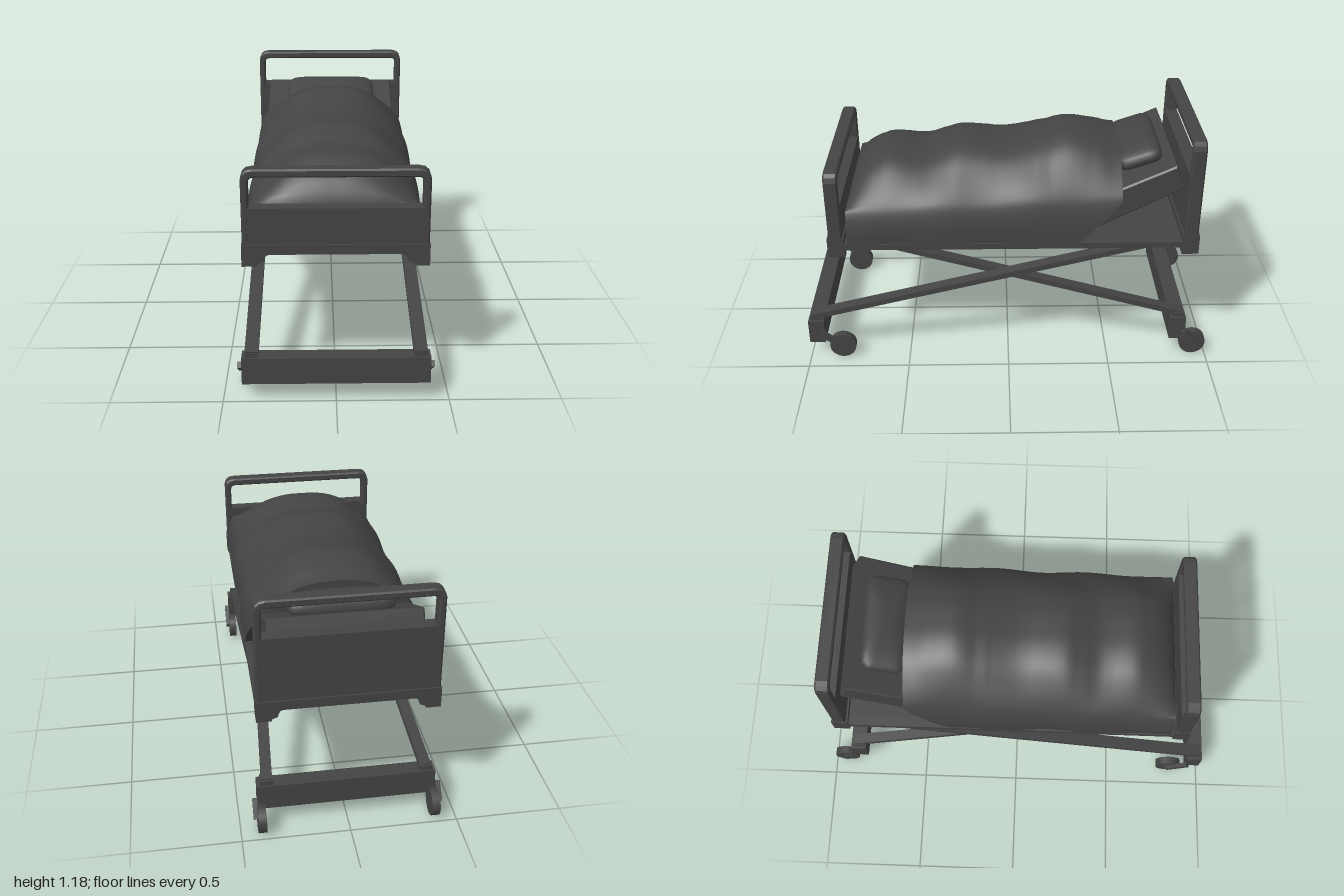
import * as THREE from 'three';
import { toCreasedNormals } from 'three/addons/utils/BufferGeometryUtils.js';

const charcoal = new THREE.MeshStandardMaterial({ color: 0x444444 });
charcoal.name = 'charcoal';
const charcoalCloth = new THREE.MeshStandardMaterial({ color: 0x444444, side: THREE.DoubleSide });
charcoalCloth.name = 'charcoal cloth';

function add(parent, name, geometry, material = charcoal) {
  const mesh = new THREE.Mesh(geometry, material);
  mesh.name = name;
  parent.add(mesh);
  return mesh;
}

// Box given by its two extremes on each axis
function box(parent, name, x0, x1, y0, y1, z0, z1) {
  const mesh = add(parent, name, new THREE.BoxGeometry(x1 - x0, y1 - y0, z1 - z0));
  mesh.position.set((x0 + x1) / 2, (y0 + y1) / 2, (z0 + z1) / 2);
  return mesh;
}

// Extrusion of a shape, centred on z = 0
function slab(shape, depth, bevel = 0) {
  const geometry = new THREE.ExtrudeGeometry(shape, {
    depth: depth - 2 * bevel, curveSegments: 3, bevelEnabled: bevel > 0,
    bevelSize: bevel, bevelThickness: bevel, bevelOffset: -bevel, bevelSegments: 1,
  });
  return geometry.translate(0, 0, -depth / 2 + bevel);
}

// Square bar running between two points, its width kept along x
function bar(parent, name, a, b, width, thick) {
  const mesh = add(parent, name, new THREE.BoxGeometry(width, thick, a.distanceTo(b)));
  mesh.position.copy(a).add(b).multiplyScalar(0.5);
  mesh.lookAt(b);
  return mesh;
}

// End board: hoop handle, infill panel and a notched skirt with corner feet
function endBoard(name, z, top, panelTop) {
  const board = new THREE.Group();
  board.name = name;
  const hoop = new THREE.Shape();
  const o = 0.407, i = 0.375, inTop = top - 0.037;
  hoop.moveTo(-o, 0.66);
  hoop.lineTo(-o, top - 0.045);
  hoop.quadraticCurveTo(-o + 0.005, top, -o + 0.05, top);
  hoop.lineTo(o - 0.05, top);
  hoop.quadraticCurveTo(o - 0.005, top, o, top - 0.045);
  hoop.lineTo(o, 0.66);
  hoop.lineTo(i, 0.66);
  hoop.lineTo(i, inTop - 0.025);
  hoop.quadraticCurveTo(i, inTop, i - 0.025, inTop);
  hoop.lineTo(-i + 0.025, inTop);
  hoop.quadraticCurveTo(-i, inTop, -i, inTop - 0.025);
  hoop.lineTo(-i, 0.66);
  add(board, 'hoopHandle', slab(hoop, 0.066, 0.007));
  box(board, 'panel', -0.385, 0.385, 0.66, panelTop, -0.032, 0.032);

  const skirt = new THREE.Shape();
  skirt.moveTo(-0.41, 0.69);
  skirt.lineTo(-0.41, 0.59);
  skirt.lineTo(-0.342, 0.59);
  skirt.lineTo(-0.342, 0.6);
  skirt.lineTo(-0.315, 0.61);
  skirt.quadraticCurveTo(-0.31, 0.645, -0.29, 0.645);
  skirt.lineTo(0.29, 0.645);
  skirt.quadraticCurveTo(0.31, 0.645, 0.315, 0.61);
  skirt.lineTo(0.342, 0.6);
  skirt.lineTo(0.342, 0.59);
  skirt.lineTo(0.41, 0.59);
  skirt.lineTo(0.41, 0.69);
  add(board, 'skirt', slab(skirt, 0.08));
  board.position.z = z;
  return board;
}

// Cross beam on the floor with a caster on each end
function base(name, z, wheelZ) {
  const group = new THREE.Group();
  group.name = name;
  box(group, 'crossBeam', -0.415, 0.415, 0.087, 0.212, z - 0.039, z + 0.039);
  for (const s of [-1, 1]) {
    const pad = box(group, 'legPad', -0.03, 0.03, 0.21, 0.235, z - 0.03, z + 0.03);
    pad.position.x = s * 0.37;
    const wheel = add(group, 'wheel', new THREE.CylinderGeometry(0.066, 0.066, 0.038, 16).rotateZ(Math.PI / 2));
    wheel.position.set(s * 0.402, 0.066, wheelZ);
    bar(group, 'casterArm', new THREE.Vector3(s * 0.428, 0.145, z - 0.03),
      new THREE.Vector3(s * 0.428, 0.07, wheelZ - 0.01), 0.022, 0.028);
  }
  return group;
}

// Draped blanket: cross-sections lofted from foot to head
function blanketGeometry() {
  const ridgePoints = new THREE.SplineCurve([
    [0.77, 0.83], [0.75, 0.88], [0.7, 0.945], [0.64, 0.985], [0.55, 1.015], [0.38, 1.0], [0.22, 1.05],
    [0.0, 1.04], [-0.18, 1.07], [-0.3, 1.1], [-0.42, 1.085], [-0.53, 1.055],
  ].map(([z, y]) => new THREE.Vector2(z, y))).getPoints(120);
  const heightAt = z => (ridgePoints.find(p => p.x <= z + 1e-4) || ridgePoints[120]).y;
  const half = [[0.405, 0], [0.403, 0.2], [0.385, 0.42], [0.355, 0.56], [0.29, 0.73], [0.2, 0.9], [0.1, 0.985]];
  const section = new THREE.SplineCurve([
    ...half.map(([x, y]) => [-x, y]), [0, 1], ...half.reverse(),
  ].map(([x, y]) => new THREE.Vector2(x, y))).getPoints(56);
  const rows = 54, cols = section.length, positions = [], index = [];
  for (let r = 0; r <= rows; r++) {
    // First and last rows fold down to close the ends
    const t = THREE.MathUtils.clamp((r - 1) / (rows - 2), 0, 1);
    const shoulder = 0.82 + 0.06 * t;
    section.forEach((p, c) => {
      const f = Math.max(p.y, 0);
      const end = -0.34 - 0.2 * Math.min(1, f / 0.45);
      const z = THREE.MathUtils.lerp(0.77, end, t);
      const fold = Math.sin(t * Math.PI) * Math.sin(z * 13 + p.x * 9) * 0.01;
      let x = p.x + Math.sign(p.x) * fold * (1 - f) * 0.7;
      // Hanging sides below the shoulder, arched body above it
      let y = f < 0.5 ? THREE.MathUtils.lerp(0.655, shoulder, f * 2)
        : THREE.MathUtils.lerp(shoulder, heightAt(z), f * 2 - 1);
      y += fold * f * (1 - f) * 3;
      if (r === 0) y = 0.655;
      if (r === rows) { x *= 0.85; y = Math.min(y, 0.88); }
      positions.push(x, y, z);
      if (r < rows && c < cols - 1) {
        const a = r * cols + c, b = a + cols;
        index.push(a, a + 1, b, b, a + 1, b + 1);
      }
    });
  }
  const geometry = new THREE.BufferGeometry();
  geometry.setAttribute('position', new THREE.Float32BufferAttribute(positions, 3));
  geometry.setIndex(index);
  return toCreasedNormals(geometry, 0.7);
}

// Pillow: a sphere with every ring pushed out to a rounded rectangle
function pillowGeometry() {
  const geometry = new THREE.SphereGeometry(1, 40, 20);
  const p = geometry.attributes.position;
  for (let i = 0; i < p.count; i++) {
    const x = p.getX(i), y = p.getY(i), z = p.getZ(i);
    const radius = Math.max(Math.hypot(x, z), 1e-6);
    const grow = radius / Math.max((x ** 8 + z ** 8) ** 0.125, 1e-6);
    const k = Math.min(grow, 1.3);
    p.setXYZ(i, x * k * 0.24, Math.sign(y) * Math.abs(y) ** 0.75 * 0.062, z * k * 0.108);
  }
  geometry.computeVertexNormals();
  return geometry;
}

export function createModel() {
  const bed = new THREE.Group();
  bed.name = 'adjustableBed';

  bed.add(endBoard('footboard', 0.825, 1.03, 0.855));
  bed.add(endBoard('headboard', -0.876, 1.18, 1.0));
  bed.add(base('frontBase', 0.961, 0.835));
  bed.add(base('rearBase', -0.853, -0.932));

  // Thin platform carried between the side rails
  box(bed, 'deck', -0.36, 0.36, 0.644, 0.655, -0.85, 0.8);

  for (const s of [-1, 1]) {
    const rail = box(bed, 'sideRail', -0.033, 0.033, 0.625, 0.655, -0.84, 0.79);
    rail.position.x = s * 0.375;
    // Crossing scissor legs
    bar(bed, 'outerLeg', new THREE.Vector3(s * 0.37, 0.226, 0.985),
      new THREE.Vector3(s * 0.37, 0.63, -0.65), 0.06, 0.028);
    bar(bed, 'innerLeg', new THREE.Vector3(s * 0.37, 0.226, -0.87),
      new THREE.Vector3(s * 0.272, 0.628, 0.75), 0.052, 0.028);
  }

  // Mattress, flat under the legs and raised at the back
  const side = new THREE.Shape([
    [-0.75, 0.655], [0.34, 0.655], [0.84, 0.915], [0.79, 1.03], [0.53, 0.91], [0.28, 0.785], [-0.75, 0.785],
  ].map(([x, y]) => new THREE.Vector2(x, y)));
  add(bed, 'mattress', slab(side, 0.69, 0.008).rotateY(Math.PI / 2));

  const pillow = add(bed, 'pillow', pillowGeometry());
  pillow.position.set(0, 1.0, -0.637);
  pillow.rotation.x = 0.33;

  add(bed, 'blanket', blanketGeometry(), charcoalCloth);
  return bed;
}
